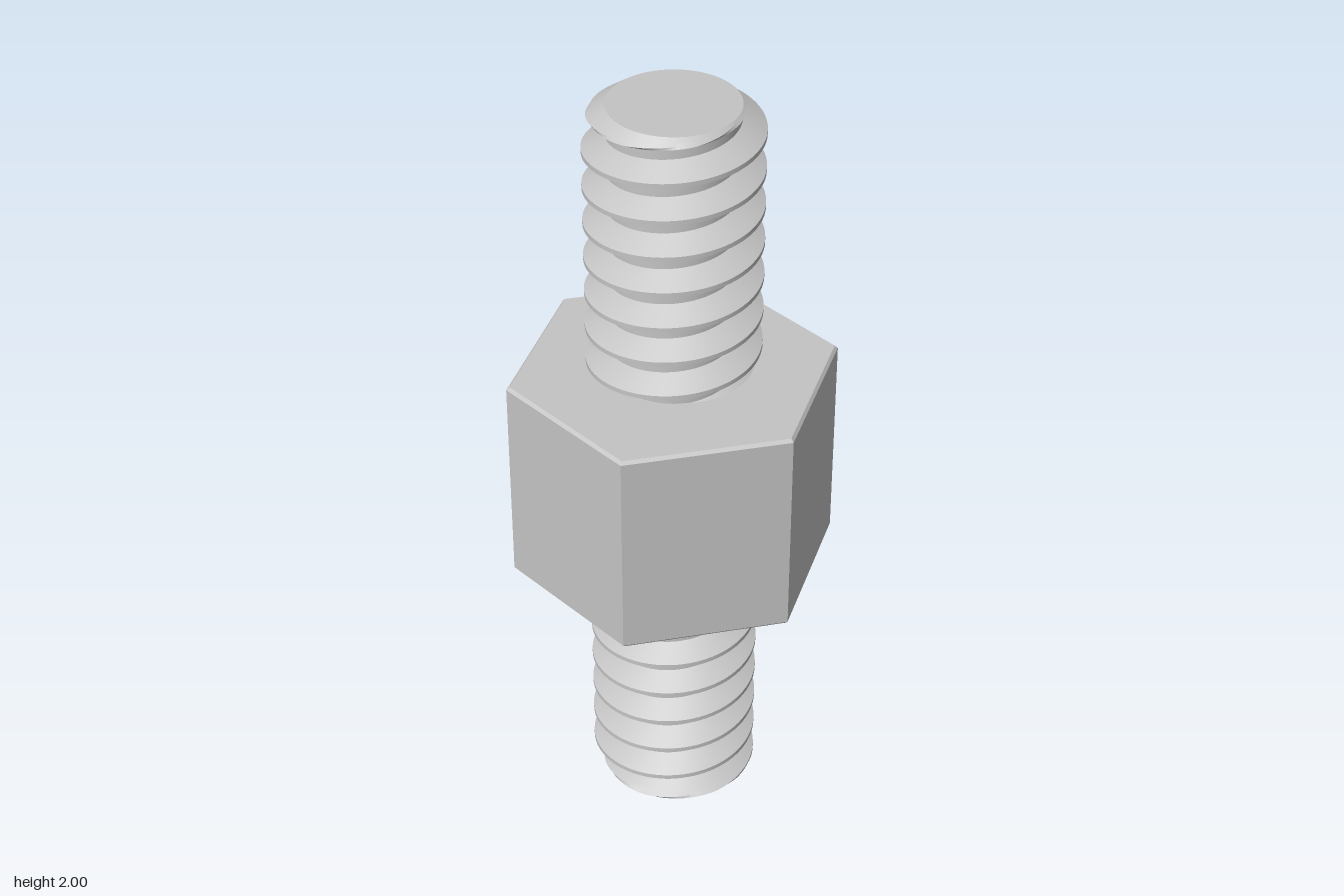
import * as THREE from 'three';
import { toCreasedNormals } from 'three/addons/utils/BufferGeometryUtils.js';

const PITCH = 0.0955, CREST = 0.213, ROOT = 0.157;
const ROWS = 16, SEGS = 72;

// Radius of the thread form; u is the height in pitches from a crest
function threadRadius(u) {
  const d = Math.abs(u - Math.round(u));
  const t = THREE.MathUtils.clamp((d - 1 / 16) / (5 / 16), 0, 1);
  return CREST + (ROOT - CREST) * t;
}

// Right-handed threaded rod from y0 to y1, chamfered at the free end
function threadGeometry(y0, y1, crestY, endY) {
  const first = (Math.floor((y0 - crestY) / PITCH) - 1) * ROWS;
  const last = (Math.ceil((y1 - crestY) / PITCH) + 1) * ROWS;
  const point = (i, j) => {
    const turn = i / SEGS, a = turn * Math.PI * 2;
    const y = THREE.MathUtils.clamp(crestY + PITCH * (j / ROWS + turn), y0, y1);
    const r = Math.min(threadRadius((y - crestY) / PITCH - turn), ROOT + 1.4 * Math.abs(endY - y));
    return new THREE.Vector3(r * Math.cos(a), y, -r * Math.sin(a));
  };
  const positions = [];
  const triangle = new THREE.Triangle();
  const add = (a, b, c) => {
    // Skip the triangles flattened by the end planes
    if (triangle.set(a, b, c).getArea() > 1e-8) {
      for (const p of [a, b, c]) positions.push(p.x, p.y, p.z);
    }
  };
  for (let j = first; j < last; j++) {
    for (let i = 0; i < SEGS; i++) {
      const a = point(i, j), b = point(i + 1, j), c = point(i + 1, j + 1), d = point(i, j + 1);
      add(a, b, c);
      add(a, c, d);
    }
  }
  const geometry = new THREE.BufferGeometry();
  geometry.setAttribute('position', new THREE.Float32BufferAttribute(positions, 3));
  return toCreasedNormals(geometry, 0.45);
}

export function createModel() {
  const steel = new THREE.MeshStandardMaterial({ color: 0xc4c4c4 });
  steel.name = 'steel grey';
  const model = new THREE.Group();
  model.name = 'hexStandoffStud';
  const add = (parent, name, geometry) => {
    const mesh = new THREE.Mesh(geometry, steel);
    mesh.name = name;
    parent.add(mesh);
    return mesh;
  };

  // Hexagonal body with a fine bevel on its top and bottom edges
  const profile = [[0, 0.72], [0.403, 0.72], [0.411, 0.728], [0.411, 1.272], [0.403, 1.28], [0, 1.28]]
    .map(([r, y]) => new THREE.Vector2(r, y));
  add(model, 'hexBody', toCreasedNormals(new THREE.LatheGeometry(profile, 6, Math.PI / 2), 0.1));

  // Threaded studs above and below the body, each closed by a flat end
  const studs = [
    { name: 'upperStud', y0: 1.26, y1: 2, crestY: 1.936, endY: 2 },
    { name: 'lowerStud', y0: 0, y1: 0.74, crestY: 0.053, endY: 0 },
  ];
  for (const { name, y0, y1, crestY, endY } of studs) {
    const stud = new THREE.Group();
    stud.name = name;
    add(stud, name + 'Thread', threadGeometry(y0, y1, crestY, endY));
    const end = add(stud, name + 'End', new THREE.CircleGeometry(ROOT, SEGS));
    end.rotation.x = endY > 1 ? -Math.PI / 2 : Math.PI / 2;
    end.position.y = endY;
    model.add(stud);
  }
  return model;
}
